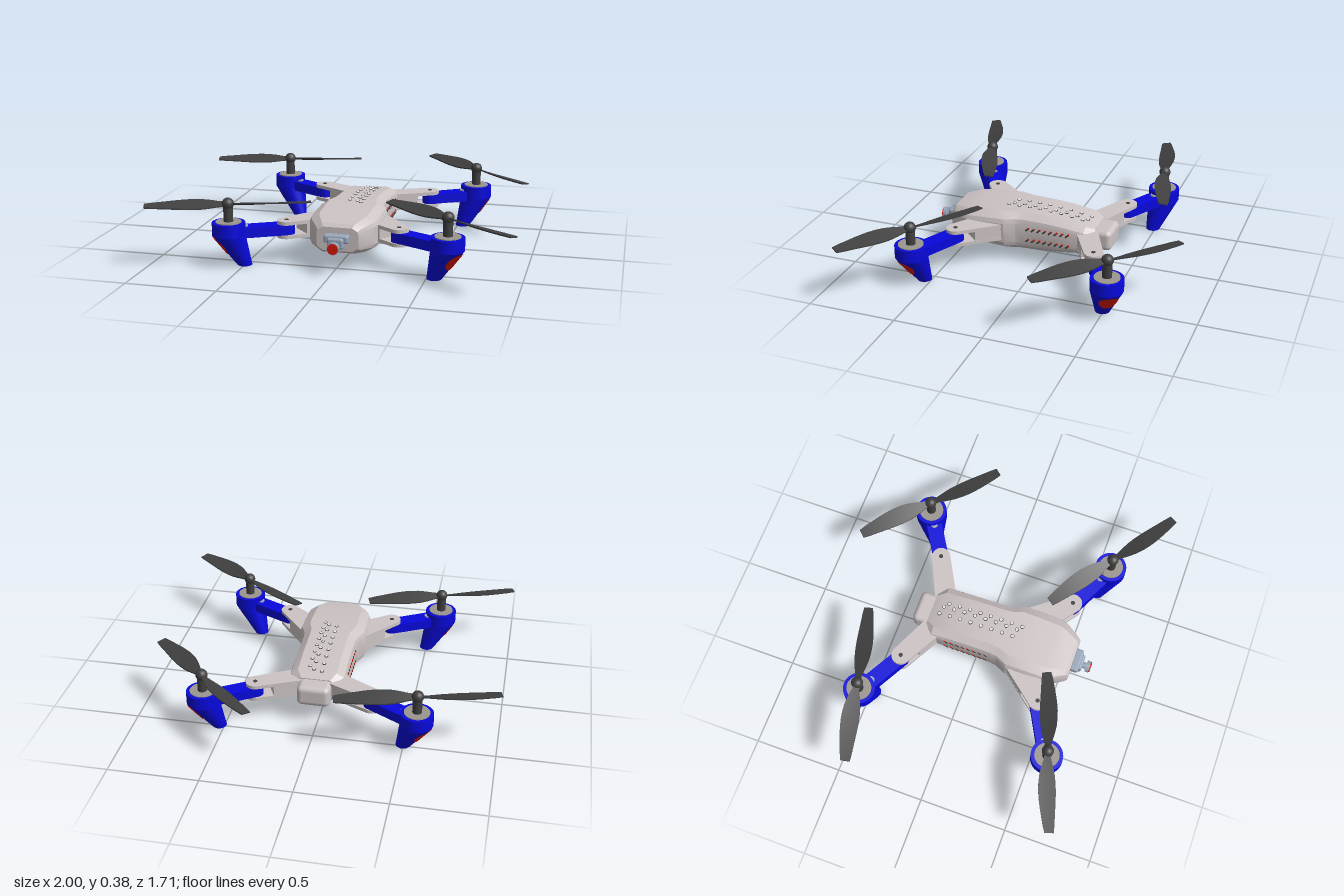
import * as THREE from 'three';
import { RoundedBoxGeometry } from 'three/addons/geometries/RoundedBoxGeometry.js';
import { ParametricGeometry } from 'three/addons/geometries/ParametricGeometry.js';
import { toCreasedNormals } from 'three/addons/utils/BufferGeometryUtils.js';

const paint = (name, color) => Object.assign(new THREE.MeshStandardMaterial({ color }), { name });
const CX = 0.02; // centre line of the body

export function createModel() {
  const shell = paint('shell', 0xcdc4c4);
  const blue = paint('blue', 0x0808dc);
  const dark = paint('dark grey', 0x404040);
  const red = paint('red', 0xe01808);
  const metal = paint('motor grey', 0x9c9690);
  const steel = paint('steel', 0x9ba8bc);
  const pale = paint('pale grey', 0xe8e8ea);
  red.side = THREE.DoubleSide;

  const model = new THREE.Group();
  const add = (parent, name, geo, mat, x = 0, y = 0, z = 0) => {
    const m = new THREE.Mesh(geo, mat);
    m.name = name;
    m.position.set(x, y, z);
    parent.add(m);
    return m;
  };
  const group = (parent, name, x = 0, y = 0, z = 0) => {
    const g = new THREE.Group();
    g.name = name;
    g.position.set(x, y, z);
    parent.add(g);
    return g;
  };

  // Body: octagonal cross-sections [z, half width, bottom, top]
  const sections = [
    [-0.31, 0.115, 0.115, 0.245], [-0.26, 0.157, 0.1, 0.265], [-0.12, 0.157, 0.082, 0.288],
    [0, 0.157, 0.073, 0.297], [0.1, 0.159, 0.07, 0.3], [0.14, 0.166, 0.07, 0.3],
    [0.2, 0.194, 0.071, 0.299], [0.3, 0.194, 0.076, 0.295], [0.42, 0.19, 0.087, 0.284],
    [0.46, 0.175, 0.091, 0.279], [0.535, 0.128, 0.102, 0.262], [0.552, 0.115, 0.115, 0.245],
  ];
  const ring = ([z, w, b, t]) => {
    const m = (b + t) / 2, h = (t - b) / 2;
    return [[0.7, 1], [0.95, 0.72], [1, 0.5], [1, -0.5], [0.95, -0.72], [0.7, -1],
      [-0.7, -1], [-0.95, -0.72], [-1, -0.5], [-1, 0.5], [-0.95, 0.72], [-0.7, 1]]
      .map(([u, v]) => [CX + u * w, m + v * h, z]);
  };
  const rings = sections.map(ring);
  const n = rings[0].length, tri = [];
  for (let i = 0; i < rings.length - 1; i++) {
    for (let j = 0; j < n; j++) {
      const k = (j + 1) % n, A = rings[i], B = rings[i + 1];
      tri.push(A[j], B[j], A[k], B[j], B[k], A[k]);
    }
  }
  const last = rings[rings.length - 1], first = rings[0];
  for (let j = 1; j < n - 1; j++) {
    tri.push(last[0], last[j + 1], last[j], first[0], first[j], first[j + 1]);
  }
  const bodyGeo = new THREE.BufferGeometry();
  bodyGeo.setAttribute('position', new THREE.Float32BufferAttribute(tri.flat(), 3));
  add(model, 'body', toCreasedNormals(bodyGeo, 0.35), shell);
  add(model, 'tail', new RoundedBoxGeometry(0.185, 0.12, 0.16, 3, 0.03), shell, CX, 0.18, -0.322);

  // Height and slope of the shell above its mid line
  const shellAt = (z, c) => {
    const i = Math.max(1, sections.findIndex((s) => s[0] >= z));
    const a = sections[i - 1], b = sections[i];
    return a[c] + (b[c] - a[c]) * (z - a[0]) / (b[0] - a[0]);
  };

  // Vent dots on the top and the underside
  const dot = new THREE.CylinderGeometry(0.009, 0.009, 0.006, 8);
  const rim = new THREE.CylinderGeometry(0.012, 0.012, 0.004, 8);
  const vents = group(model, 'vents');
  for (let i = 0; i < 8; i++) {
    for (const [x, dz] of [[-0.005, 0], [0.042, 0.01], [0.068, 0.034]]) {
      const z = -0.255 + i * 0.063 + dz;
      for (const c of [2, 3]) {
        add(vents, 'ventRim', rim, dark, x, shellAt(z, c), z);
        add(vents, 'ventDot', dot, pale, x, shellAt(z, c), z);
      }
    }
  }
  // Slanted side vents, two rows on each flank
  const slit = new THREE.BoxGeometry(0.006, 0.009, 0.026);
  for (const s of [-1, 1]) {
    for (const y of [0.145, 0.213]) {
      for (let i = 0; i < 8; i++) {
        const v = add(vents, 'sideVent', slit, dark, CX + s * 0.157, y, 0.07 - i * 0.034);
        v.rotation.x = 0.75;
        add(vents, 'sideVentLight', new THREE.BoxGeometry(0.007, 0.009, 0.009), red,
          CX + s * 0.157, y + 0.008, 0.062 - i * 0.034);
      }
    }
  }

  // Camera on the nose
  const camera = group(model, 'camera', CX, 0.17, 0);
  add(camera, 'cameraMount', new RoundedBoxGeometry(0.135, 0.045, 0.05, 2, 0.012), steel, 0, 0.02, 0.57);
  add(camera, 'cameraBlock', new RoundedBoxGeometry(0.09, 0.06, 0.06, 2, 0.012), steel, 0, 0, 0.58);
  const barrel = (name, r, len, z, mat) => {
    add(camera, name, new THREE.CylinderGeometry(r, r, len, 24), mat, 0, -0.015, z).rotation.x = Math.PI / 2;
  };
  barrel('cameraNeck', 0.018, 0.05, 0.62, steel);
  barrel('cameraBarrel', 0.033, 0.022, 0.64, steel);
  barrel('cameraLens', 0.029, 0.008, 0.653, red);

  // Flat bar along x with a round end at the origin
  const bar = (x0, x1, w0, r, h) => {
    const s = new THREE.Shape();
    s.moveTo(x0, -w0);
    if (x1 < 0) s.lineTo(x1, -(r + (w0 - r) * x1 / x0)).lineTo(x1, r + (w0 - r) * x1 / x0);
    else s.lineTo(0, -r).absarc(0, 0, r, -Math.PI / 2, Math.PI / 2, false);
    s.lineTo(x0, w0);
    return new THREE.ExtrudeGeometry(s, { depth: h, bevelEnabled: false, curveSegments: 12 }).rotateX(-Math.PI / 2);
  };

  // Leg pod: a round cup that slopes in to a small foot
  const podPoint = (a, y, target, grow = 0) => {
    const k = Math.min(1, Math.max(0, (0.175 - y) / 0.175));
    const r = 0.09 - 0.05 * k + grow;
    return target.set(-0.083 * k + r * Math.cos(a), y, -r * Math.sin(a));
  };
  const podLevels = [0, 0.175, 0.175, 0.245];
  const podSide = (y0, y1, k) => new ParametricGeometry(
    (u, v, p) => podPoint(u * Math.PI * 2, y0 + (y1 - y0) * v, p), 32, k);
  const badgeGeo = new ParametricGeometry((u, v, p) => {
    const a = u * Math.PI * 2;
    podPoint(0.72 * v * Math.cos(a), 0.117 + 0.05 * v * Math.sin(a), p, 0.005);
  }, 28, 5);
  const disk = (r, h) => new THREE.CylinderGeometry(r, r, h, 32);

  // Two-bladed propeller: a thin box given chord and pitch along its length
  const bladeGeo = new THREE.BoxGeometry(0.89, 0.007, 1, 40, 1, 4);
  const chord = [0.03, 0.04, 0.065, 0.085, 0.094, 0.096, 0.092, 0.084, 0.074, 0.065, 0.05];
  const pos = bladeGeo.attributes.position;
  for (let i = 0; i < pos.count; i++) {
    const x = pos.getX(i), s = Math.sign(x), t = Math.min(9.999, Math.abs(x) / 0.0445);
    const f = Math.floor(t), w = chord[f] + (chord[f + 1] - chord[f]) * (t - f);
    const z = pos.getZ(i) * w;
    pos.setXYZ(i, x, pos.getY(i) + s * z * (0.42 - 0.028 * t), z + s * 0.008 * Math.sin(t * 0.31));
  }
  const propGeo = toCreasedNormals(bladeGeo, 0.6);

  // Corners: pod, hinge, bracket root, propeller direction, root half width
  const corners = [
    ['frontLeft', [0.615, 0.577], [0.33, 0.44], [0.13, 0.25], [0.725, 0.505], 0.09],
    ['frontRight', [-0.575, 0.59], [-0.295, 0.44], [-0.09, 0.25], [0.84, -0.3], 0.09],
    ['rearLeft', [0.6, -0.535], [0.345, -0.378], [0.11, -0.26], [0.64, 0.6], 0.062],
    ['rearRight', [-0.57, -0.525], [-0.305, -0.378], [-0.07, -0.26], [0.86, -0.21], 0.062],
  ];
  for (const [name, pod, hinge, root, prop, w0] of corners) {
    const corner = group(model, name + 'Corner');
    const heading = (a, b) => [Math.atan2(a[1] - b[1], b[0] - a[0]), Math.hypot(b[0] - a[0], b[1] - a[1])];

    // Forked bracket fixed to the body
    const [turn, len] = heading(root, hinge);
    const bracket = group(corner, name + 'Bracket', hinge[0], 0, hinge[1]);
    bracket.rotation.y = turn;
    add(bracket, 'lowerFork', bar(-len, 0, w0, 0.053, 0.02), shell, 0, 0.14);
    add(bracket, 'upperFork', bar(-len, 0, w0, 0.053, 0.02), shell, 0, 0.216);
    add(bracket, 'bracketRoot', bar(-len, -0.09, w0 * 0.98, 0.052, 0.07), shell, 0, 0.153);
    add(bracket, 'hingePin', disk(0.012, 0.1), dark, 0, 0.188);

    // Folding arm with leg pod
    const [swing, reach] = heading(hinge, pod);
    const arm = group(corner, name + 'Arm', pod[0], 0, pod[1]);
    arm.rotation.y = swing;
    const beam = add(arm, 'armBeam', bar(-reach + 0.03, 0, 0.045, 0.044, 0.056), blue, -reach, 0.16);
    beam.rotation.y = Math.PI;
    add(arm, 'armScrew', disk(0.02, 0.012), steel, -0.085, 0.218);
    add(arm, 'podLeg', podSide(podLevels[0], podLevels[1], 8), blue);
    add(arm, 'podCup', podSide(podLevels[2], podLevels[3], 1), blue);
    add(arm, 'podRim', disk(0.09, 0.004), blue, 0, 0.243);
    add(arm, 'footSole', disk(0.04, 0.004), blue, -0.083, 0.002);
    add(arm, 'podBadge', badgeGeo, red);
    add(arm, 'motorPlate', disk(0.07, 0.008), metal, 0, 0.246);

    // Motor shaft and propeller
    const rotor = group(corner, name + 'Rotor', pod[0], 0, pod[1]);
    rotor.rotation.y = -Math.atan2(prop[1], prop[0]);
    add(rotor, 'shaft', disk(0.026, 0.1), dark, 0, 0.295);
    add(rotor, 'hub', new THREE.SphereGeometry(0.033, 20, 14), dark, 0, 0.347);
    add(rotor, 'propeller', propGeo, dark, 0, 0.345);
  }
  return model;
}
